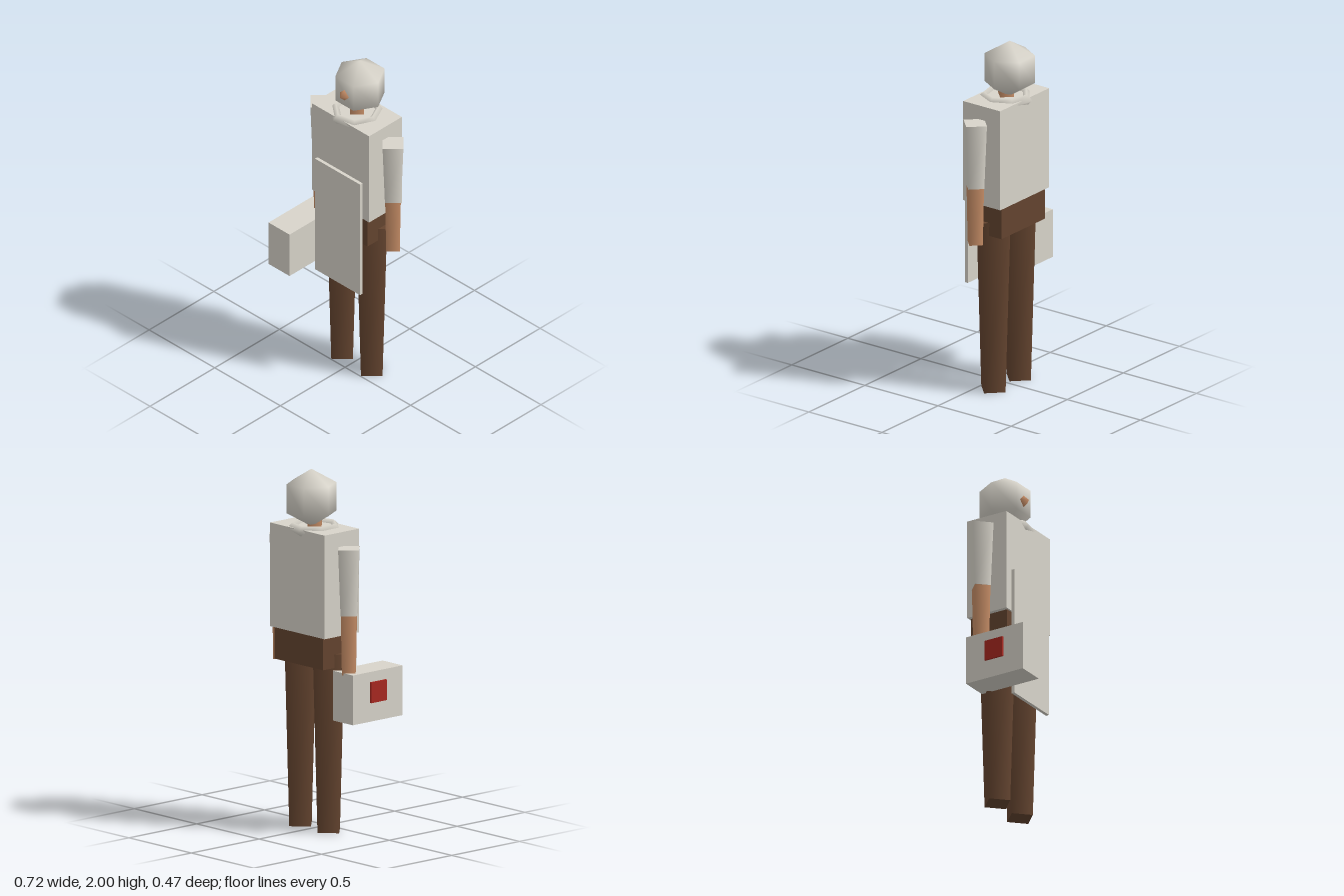
import * as THREE from 'three';

const flat = (name, color) => {
  const m = new THREE.MeshStandardMaterial({ color });
  m.name = name;
  return m;
};

export function createModel() {
  const cloth = flat('paleCloth', 0xd8d4ca);
  const brown = flat('brownTrousers', 0x64442f);
  const skin = flat('skin', 0xc68d66);
  const red = flat('redPatch', 0xa82820);

  const model = new THREE.Group();
  model.name = 'figure';
  const CX = 0.005, CZ = -0.086; // body axis

  const add = (name, geometry, material, x, y, z) => {
    const mesh = new THREE.Mesh(geometry, material);
    mesh.name = name;
    mesh.position.set(x, y, z);
    model.add(mesh);
    return mesh;
  };
  // box given by its extents
  const box = (name, material, x0, x1, y0, y1, z0, z1) =>
    add(name, new THREE.BoxGeometry(x1 - x0, y1 - y0, z1 - z0), material,
      (x0 + x1) / 2, (y0 + y1) / 2, (z0 + z1) / 2);
  // four-sided tapered limb between two heights
  const limb = (name, material, x, y0, y1, rBottom, rTop) =>
    add(name, new THREE.CylinderGeometry(rTop, rBottom, y1 - y0, 4), material, x, (y0 + y1) / 2, CZ);

  // trunk
  box('torso', cloth, -0.213, 0.223, 1.103, 1.68, -0.213, 0.04);
  box('hips', brown, -0.19, 0.2, 0.925, 1.103, -0.203, 0.03);
  box('beltKnot', skin, -0.03, 0.04, 0.98, 1.05, 0.02, 0.044);
  box('apron', cloth, -0.167, 0.177, 0.605, 1.345, 0.044, 0.063);

  // arms and legs
  for (const [side, s] of [['left', 1], ['right', -1]]) {
    limb(side + 'Leg', brown, CX + s * 0.113, 0, 1, 0.083, 0.117);
    limb(side + 'Sleeve', cloth, CX + s * 0.275, 1.23, 1.6, 0.062, 0.08);
    limb(side + 'Forearm', skin, CX + s * 0.275, 0.9, 1.23, 0.052, 0.06);
  }

  // neck, collar and head
  limb('neck', skin, CX, 1.66, 1.76, 0.054, 0.054);
  add('collar', new THREE.TorusGeometry(0.121, 0.033, 4, 7), cloth, CX, 1.667, CZ).rotation.x = Math.PI / 2;
  add('head', new THREE.SphereGeometry(0.16, 6, 3), cloth, CX, 1.84, -0.11);
  add('nose', new THREE.SphereGeometry(0.035, 4, 2), skin, CX, 1.83, 0.01);

  // carried case with a patch on its outer side
  box('case', cloth, -0.351, -0.191, 0.635, 0.912, -0.132, 0.235);
  box('casePatch', red, -0.362, -0.351, 0.74, 0.855, -0.006, 0.109);

  return model;
}
